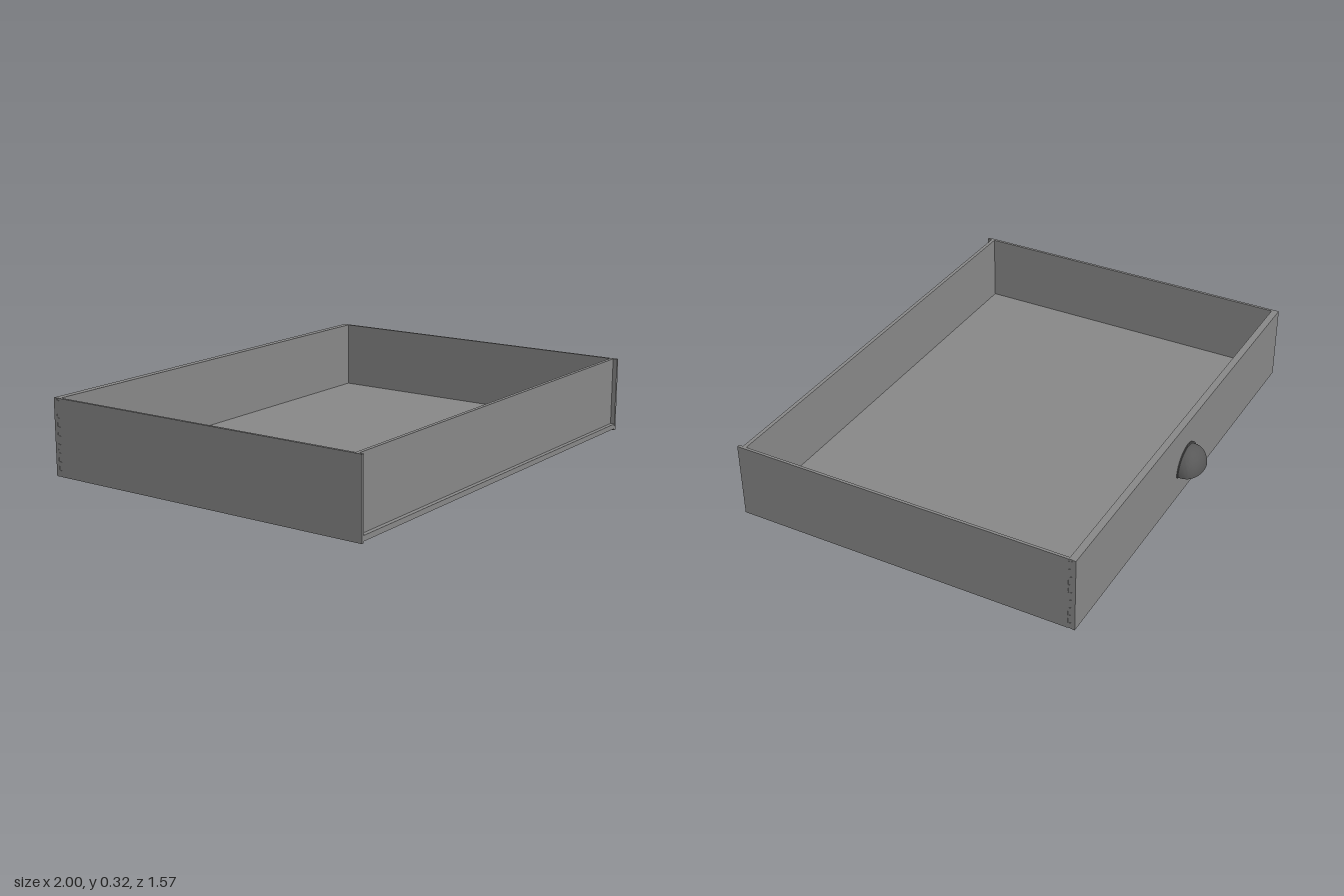
import * as THREE from 'three';
import { toCreasedNormals } from 'three/addons/utils/BufferGeometryUtils.js';

const H = 0.325;        // drawer height
const T = 0.012;        // side wall thickness
const FACE = -0.71;     // outer plane of the panel with the pull
const SEAM = -0.68;     // inner plane of that panel
const TAIL = 0.015;     // length of the dovetails
const TAILS = 9;

const boardMaterial = new THREE.MeshStandardMaterial({ color: 0x898989 });
const pullMaterial = new THREE.MeshStandardMaterial({ color: 0x585858, side: THREE.DoubleSide });

function add(parent, name, geometry, mat = boardMaterial) {
  const mesh = new THREE.Mesh(geometry, mat);
  mesh.name = name;
  parent.add(mesh);
  return mesh;
}

// Box given by its two extreme corners
function box(parent, name, [x0, y0, z0], [x1, y1, z1]) {
  const mesh = add(parent, name, new THREE.BoxGeometry(x1 - x0, y1 - y0, z1 - z0));
  mesh.position.set((x0 + x1) / 2, (y0 + y1) / 2, (z0 + z1) / 2);
}

// Jagged dovetail edge from bottom to top, as [z, y] pairs
function dovetailEdge() {
  const pitch = H / TAILS, points = [];
  for (let i = 0; i < TAILS; i++) {
    const y = i * pitch;
    points.push(
      [SEAM, y + pitch * 0.3], [SEAM - TAIL, y + pitch * 0.2],
      [SEAM - TAIL, y + pitch * 0.8], [SEAM, y + pitch * 0.7]);
  }
  return points;
}

// Panel drawn in z and y, reaching from x0 to x1
function sidePanel(parent, name, outline, x0, x1) {
  const shape = new THREE.Shape(outline.map(([z, y]) => new THREE.Vector2(-z, y)));
  const geometry = new THREE.ExtrudeGeometry(shape, { depth: x1 - x0, bevelEnabled: false });
  geometry.rotateY(Math.PI / 2);
  geometry.translate(x0, 0, 0);
  add(parent, name, geometry);
}

// Hollow quarter dome, open underneath, with a thin mounting flange
function cupPull() {
  const group = new THREE.Group();
  group.name = 'cupPull';
  const profile = [];
  const steps = 14, inner = 0.92;
  for (let i = 0; i <= steps; i++) {
    const a = (1 - i / steps) * Math.PI / 2;
    profile.push(new THREE.Vector2(inner * Math.cos(a), inner * Math.sin(a)));
  }
  for (let i = 0; i <= steps; i++) {
    const a = (i / steps) * Math.PI / 2;
    profile.push(new THREE.Vector2(Math.cos(a), Math.sin(a)));
  }
  // Fuller sides in plan, a plain quarter ellipse from the side
  const dome = new THREE.LatheGeometry(profile, 36, Math.PI / 2, Math.PI);
  const p = dome.attributes.position;
  for (let i = 0; i < p.count; i++) {
    const radius = Math.max(1e-6, Math.hypot(p.getX(i), p.getZ(i)));
    const depth = radius * Math.pow(Math.max(0, -p.getZ(i) / radius), 0.65);
    p.setXYZ(i, p.getX(i) * 0.095, p.getY(i) * 0.097, -depth * 0.078);
  }
  add(group, 'pullDome', toCreasedNormals(dome, 0.7), pullMaterial);

  const flange = new THREE.Shape();
  flange.absellipse(0, 0, 0.1, 0.105, 0, Math.PI, false);
  flange.lineTo(-0.085, 0);
  flange.absellipse(0, 0, 0.085, 0.088, Math.PI, 0, true);
  flange.closePath();
  const plate = add(group, 'pullFlange',
    new THREE.ExtrudeGeometry(flange, { depth: 0.004, bevelEnabled: false, curveSegments: 24 }),
    pullMaterial);
  plate.position.z = -0.004;
  group.position.set(0, 0.11, FACE);
  return group;
}

export function createModel() {
  const model = new THREE.Group();
  model.name = 'drawer';
  const edge = dovetailEdge();
  const wall = [[0.785, 0], [SEAM, 0], ...edge, [SEAM, H], [0.785, H]];
  const pins = [[SEAM - TAIL, 0], [SEAM, 0], ...edge, [SEAM, H], [SEAM - TAIL, H]];

  // Side walls with dovetails; the pins between them sit a hair below the surface
  const sunk = 0.0015;
  sidePanel(model, 'leftWall', wall, 1 - T, 1);
  sidePanel(model, 'leftFacePins', pins, 1 - T, 1 - sunk);
  sidePanel(model, 'rightWall', wall, -1, -1 + T);
  sidePanel(model, 'rightFacePins', pins, -1 + sunk, -1 + T);

  // Face panel: full-width outer layer and inner layer between the joints
  box(model, 'facePanel', [-1, 0, FACE], [1, H, SEAM - TAIL]);
  box(model, 'facePanelInner', [-1 + T, 0, SEAM - TAIL], [1 - T, H, SEAM]);

  // Opposite wall stands on the bottom board, set in from the ends of the sides
  box(model, 'endWall', [-1 + T, 0.028, 0.75], [1 - T, H, 0.766]);
  box(model, 'bottomBoard', [-1 + T, 0.006, SEAM], [1 - T, 0.028, 0.784]);

  model.add(cupPull());
  return model;
}
